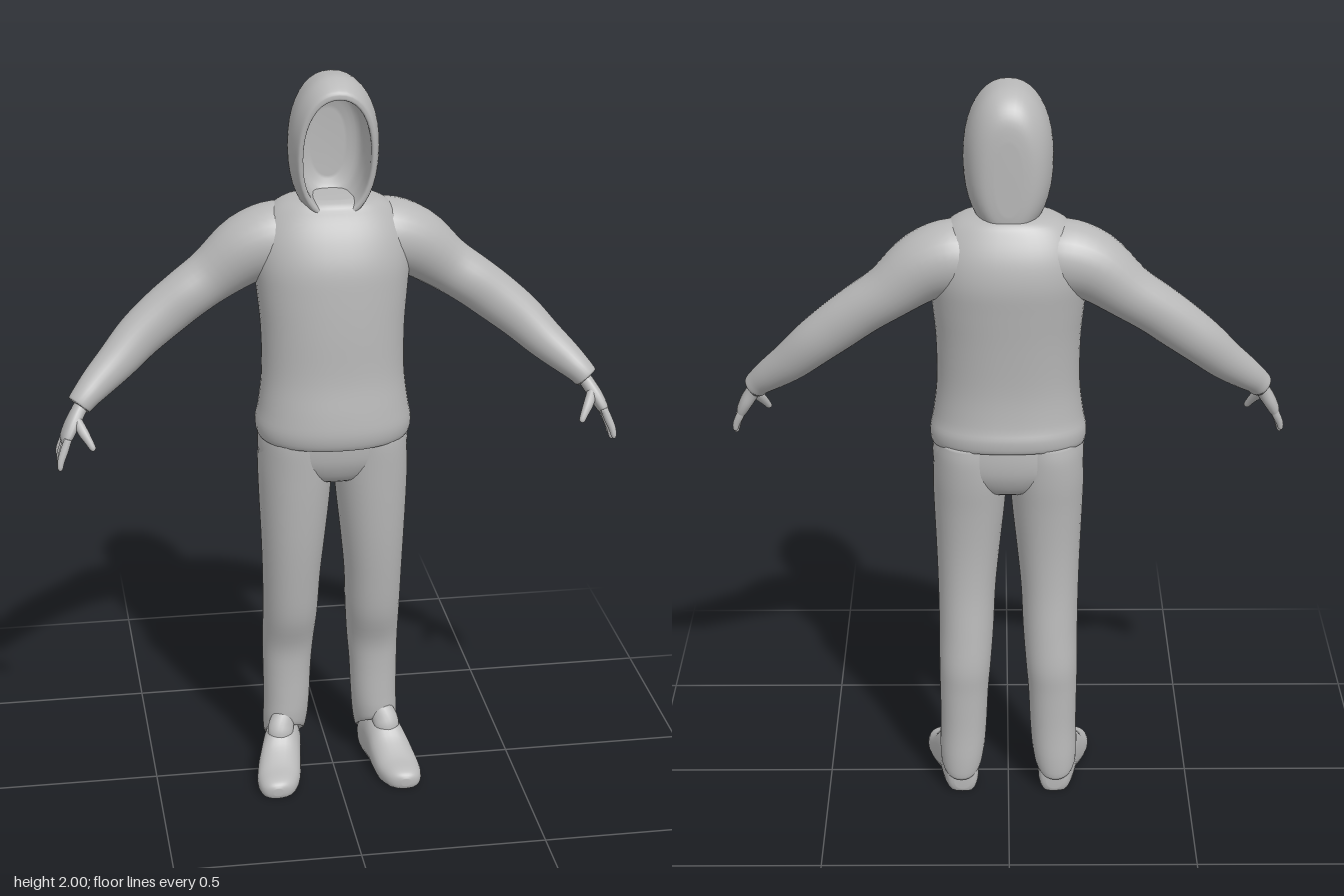
import * as THREE from 'three';

const cloth = new THREE.MeshStandardMaterial({ color: 0xb8b8b8 });
cloth.name = 'plain grey';

// Smoothly resample a list of numeric section rows
function resample(rows, steps) {
  const out = [];
  const at = (i) => rows[Math.min(rows.length - 1, Math.max(0, i))];
  for (let i = 0; i < rows.length - 1; i++) {
    for (let s = 0; s < steps; s++) {
      const t = s / steps;
      out.push(rows[i].map((p1, k) => {
        const p0 = at(i - 1)[k], p2 = at(i + 1)[k], p3 = at(i + 2)[k];
        return p1 + 0.5 * t * (p2 - p0 + t * (2 * p0 - 5 * p1 + 4 * p2 - p3 + t * (3 * (p1 - p2) + p3 - p0)));
      }));
    }
  }
  out.push(rows[rows.length - 1]);
  return out;
}

// Skin closed rings { c, u, v } (u x v points along the run) and cap both ends
function loft(rings, { n = 2, segs = 32, floor = -1 } = {}) {
  const pos = [], idx = [];
  const pw = (a) => Math.sign(a) * Math.abs(a) ** (2 / n);
  const put = (p) => pos.push(p.x, Math.max(floor, p.y), p.z);
  for (const { c, u, v } of rings) {
    for (let j = 0; j < segs; j++) {
      const a = (j / segs) * Math.PI * 2;
      put(c.clone().addScaledVector(u, pw(Math.cos(a))).addScaledVector(v, pw(Math.sin(a))));
    }
  }
  const last = (rings.length - 1) * segs, c0 = rings.length * segs, c1 = c0 + 1;
  put(rings[0].c);
  put(rings[rings.length - 1].c);
  for (let j = 0; j < segs; j++) {
    const k = (j + 1) % segs;
    for (let i = 0; i < last; i += segs) {
      idx.push(i + j, i + k, i + segs + j, i + k, i + segs + k, i + segs + j);
    }
    idx.push(c0, k, j, c1, last + j, last + k);
  }
  const g = new THREE.BufferGeometry();
  g.setAttribute('position', new THREE.Float32BufferAttribute(pos, 3));
  g.setIndex(idx);
  g.computeVertexNormals();
  return g;
}

const V = (x, y, z) => new THREE.Vector3(x, y, z);

// Upright body: rows of [y, x centre, half width, z front, z back, rise towards the front]
const upright = (rows, opt) => loft(resample(rows, 4).map(([y, x, rx, zf, zb, rise]) => ({
  c: V(x, y, (zf + zb) / 2), u: V(0, rise, (zf - zb) / 2), v: V(rx, 0, 0),
})), opt);

// Body running along z: rows of [z, x centre, half width, y low, y high, lean]
const alongZ = (rows, opt) => loft(resample(rows, 4).map(([z, x, rx, lo, hi, lean]) => ({
  c: V(x, (lo + hi) / 2, z), u: V(rx, 0, 0), v: V(0, (hi - lo) / 2, lean),
})), opt);

// Limb: rows of [x, y, z, thickness radius, radius towards z]
function limb(rows, opt) {
  const r = resample(rows, 4);
  return loft(r.map(([x, y, z, a, b], i) => {
    const p = r[Math.max(0, i - 1)], q = r[Math.min(r.length - 1, i + 1)];
    const t = V(q[0] - p[0], q[1] - p[1], q[2] - p[2]).normalize();
    const v = V(0, 0, 1).addScaledVector(t, -t.z).normalize();
    const u = v.clone().cross(t);
    return { c: V(x, y, z), u: u.multiplyScalar(a), v: v.multiplyScalar(b) };
  }), opt);
}

function mirrored(geo) {
  const g = geo.clone().scale(-1, 1, 1);
  const a = g.index.array;
  for (let i = 0; i < a.length; i += 3) [a[i], a[i + 1]] = [a[i + 1], a[i]];
  g.computeVertexNormals();
  return g;
}

export function createModel() {
  const model = new THREE.Group();
  model.name = 'hoodedFigure';
  const add = (name, geo) => {
    const m = new THREE.Mesh(geo, cloth);
    m.name = name;
    model.add(m);
  };
  const pair = (name, geo) => {
    add('left' + name, geo);
    add('right' + name, mirrored(geo));
  };

  // Sweatshirt body with a soft bulging hem
  add('sweatshirt', upright([
    [1.035, 0, 0.185, 0.12, -0.13, -0.012],
    [1.025, 0, 0.203, 0.14, -0.152, -0.012],
    [1.06, 0, 0.209, 0.151, -0.158, -0.01],
    [1.11, 0, 0.2, 0.147, -0.15, 0],
    [1.2, 0, 0.19, 0.136, -0.146, 0],
    [1.32, 0, 0.191, 0.133, -0.156, 0],
    [1.42, 0, 0.2, 0.128, -0.168, 0],
    [1.5, 0, 0.207, 0.12, -0.176, 0],
    [1.57, 0, 0.2, 0.098, -0.166, 0],
    [1.63, 0, 0.168, 0.07, -0.14, 0],
    [1.66, 0, 0.125, 0.055, -0.118, 0],
    [1.67, 0, 0.07, 0.03, -0.08, 0],
  ], { n: 2.25, segs: 48 }));

  // Hood: outer shell from the back forward, round the rim, then the lining going back
  add('hood', alongZ([
    [-0.118, 0, 0.035, 1.68, 1.87, 0],
    [-0.112, 0, 0.068, 1.64, 1.925, 0],
    [-0.09, 0, 0.094, 1.62, 1.965, 0],
    [-0.05, 0, 0.111, 1.61, 1.992, 0],
    [0, 0, 0.117, 1.61, 2.0, 0.005],
    [0.04, 0, 0.114, 1.615, 1.998, 0.014],
    [0.075, 0, 0.104, 1.622, 1.975, 0.024],
    [0.082, 0, 0.096, 1.63, 1.96, 0.025],
    [0.076, 0, 0.088, 1.638, 1.95, 0.024],
    [0.04, 0, 0.09, 1.645, 1.955, 0.014],
    [-0.02, 0, 0.092, 1.65, 1.955, 0],
    [-0.07, 0, 0.08, 1.66, 1.935, 0],
    [-0.09, 0, 0.045, 1.7, 1.88, 0],
  ], { n: 2.2, segs: 40 }));

  // Sleeves, slightly bent at the elbow and gathered at the cuff
  pair('Sleeve', limb([
    [0.07, 1.55, -0.045, 0.08, 0.09],
    [0.14, 1.55, -0.045, 0.1, 0.1],
    [0.22, 1.525, -0.048, 0.093, 0.092],
    [0.31, 1.458, -0.052, 0.074, 0.072],
    [0.38, 1.41, -0.045, 0.069, 0.066],
    [0.443, 1.362, -0.038, 0.067, 0.06],
    [0.51, 1.307, -0.025, 0.062, 0.056],
    [0.57, 1.25, -0.002, 0.054, 0.051],
    [0.625, 1.203, 0.025, 0.045, 0.045],
    [0.66, 1.172, 0.046, 0.037, 0.04],
    [0.678, 1.152, 0.055, 0.033, 0.036],
    [0.674, 1.156, 0.053, 0.024, 0.027],
  ], { segs: 28 }));

  // Hands: palm, four fingers and thumb
  pair('Palm', limb([
    [0.655, 1.175, 0.045, 0.019, 0.024],
    [0.68, 1.14, 0.063, 0.019, 0.026],
    [0.7, 1.108, 0.078, 0.019, 0.037],
    [0.716, 1.078, 0.09, 0.016, 0.04],
    [0.721, 1.064, 0.094, 0.01, 0.034],
  ], { n: 2.3, segs: 20 }));
  for (let i = 0; i < 4; i++) {
    const z = 0.062 + i * 0.021;
    const len = [0.8, 0.98, 1.05, 0.92][i];
    const spread = (i - 1.5) * 0.006;
    pair('Finger' + (i + 1), limb([
      [0.713, 1.085, z, 0.01, 0.01],
      [0.724, 1.085 - 0.03 * len, z + 0.004 + spread * 0.4, 0.011, 0.0105],
      [0.734, 1.085 - 0.058 * len, z + 0.009 + spread * 0.8, 0.0095, 0.009],
      [0.737, 1.085 - 0.078 * len, z + 0.012 + spread, 0.007, 0.0075],
      [0.737, 1.085 - 0.084 * len, z + 0.012 + spread, 0.003, 0.003],
    ], { segs: 12 }));
  }
  pair('Thumb', limb([
    [0.69, 1.128, 0.085, 0.013, 0.014],
    [0.674, 1.1, 0.112, 0.014, 0.014],
    [0.66, 1.078, 0.128, 0.011, 0.011],
    [0.65, 1.06, 0.138, 0.008, 0.008],
    [0.648, 1.056, 0.139, 0.003, 0.003],
  ], { segs: 12 }));

  // Trousers: seat and two straight legs with slanted cuffs
  add('trouserSeat', upright([
    [0.885, 0, 0.05, 0.035, -0.06, 0],
    [0.905, 0, 0.13, 0.085, -0.11, 0],
    [0.95, 0, 0.192, 0.112, -0.137, 0],
    [1.0, 0, 0.203, 0.122, -0.145, 0],
    [1.06, 0, 0.195, 0.125, -0.142, 0],
  ], { n: 2.3, segs: 40 }));
  pair('TrouserLeg', upright([
    [0.1, 0.13, 0.04, -0.02, -0.11, 0.04],
    [0.088, 0.131, 0.055, 0.006, -0.13, 0.046],
    [0.13, 0.128, 0.062, 0.012, -0.134, 0.035],
    [0.2, 0.124, 0.064, 0.012, -0.13, 0.01],
    [0.3, 0.122, 0.067, 0.012, -0.132, 0],
    [0.38, 0.119, 0.071, 0.02, -0.136, 0],
    [0.48, 0.115, 0.075, 0.055, -0.127, 0],
    [0.6, 0.113, 0.079, 0.077, -0.116, 0],
    [0.72, 0.109, 0.087, 0.094, -0.116, 0],
    [0.84, 0.105, 0.096, 0.106, -0.126, 0],
    [0.93, 0.103, 0.1, 0.113, -0.138, 0],
    [1.0, 0.103, 0.095, 0.118, -0.143, 0],
    [1.04, 0.1, 0.09, 0.118, -0.14, 0],
  ], { n: 2.15 }));

  // Shoes: rounded uppers flattened against the ground, turned slightly outwards
  pair('Shoe', alongZ([
    [-0.122, 0.128, 0.022, 0.01, 0.06, 0],
    [-0.112, 0.129, 0.04, -0.01, 0.09, 0],
    [-0.075, 0.133, 0.05, -0.02, 0.12, 0],
    [-0.02, 0.142, 0.053, -0.02, 0.142, 0],
    [0.02, 0.151, 0.056, -0.02, 0.128, 0],
    [0.06, 0.16, 0.06, -0.02, 0.094, 0],
    [0.11, 0.169, 0.06, -0.018, 0.066, 0],
    [0.15, 0.175, 0.05, -0.012, 0.054, 0],
    [0.17, 0.178, 0.034, -0.004, 0.044, 0],
    [0.178, 0.179, 0.012, 0.01, 0.032, 0],
  ], { n: 2.3, segs: 28, floor: 0 }));

  // Shoe tongue and lace ridge just under the cuff
  pair('ShoeTongue', limb([
    [0.135, 0.165, -0.015, 0.03, 0.025],
    [0.147, 0.135, 0.002, 0.036, 0.026],
    [0.152, 0.112, 0.014, 0.034, 0.024],
    [0.156, 0.085, 0.025, 0.02, 0.015],
  ], { segs: 20 }));

  return model;
}
